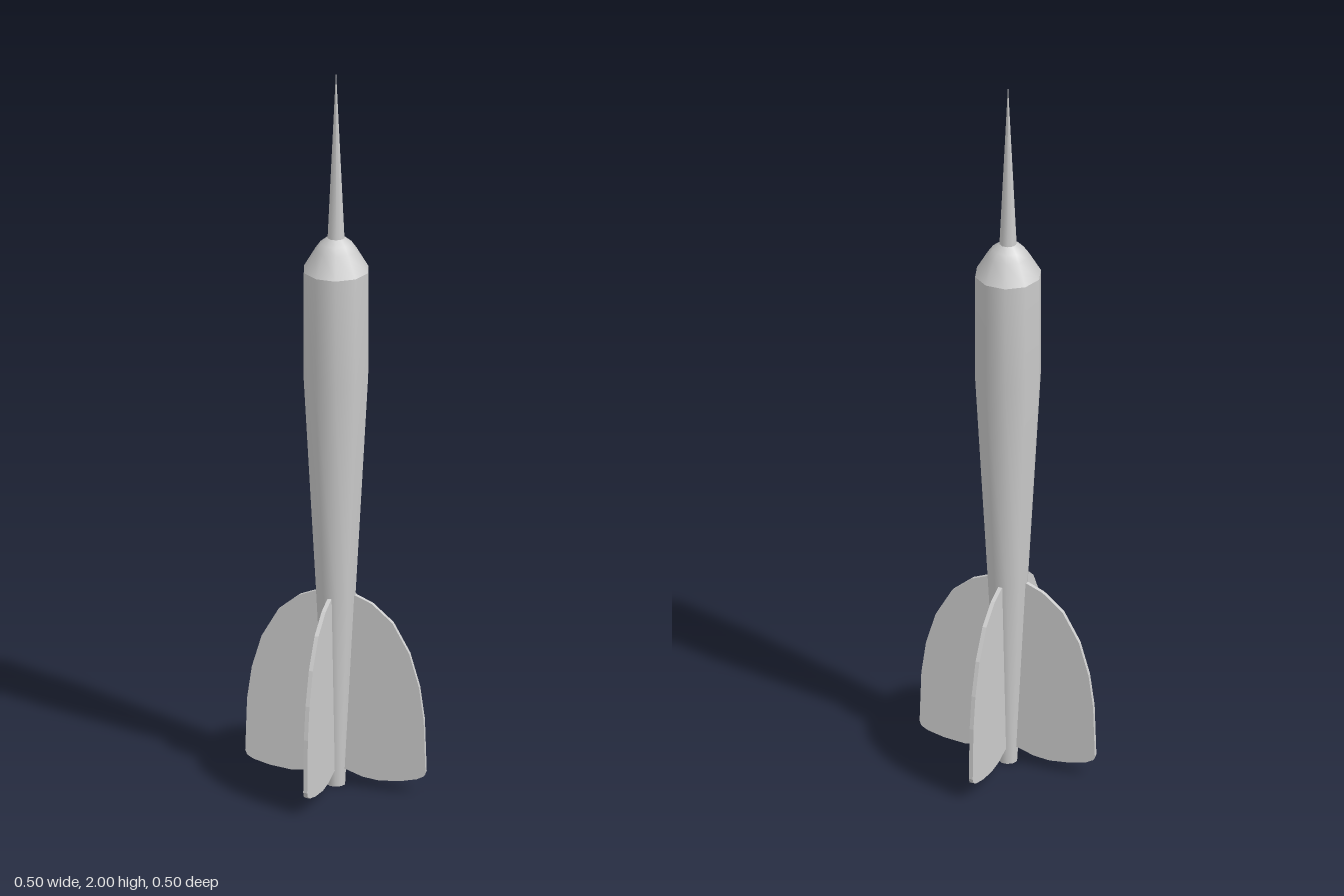
import * as THREE from 'three';

const SIDES = 10;

export function createModel() {
  const dart = new THREE.Group();
  dart.name = 'dart';
  const material = new THREE.MeshStandardMaterial({ color: 0xcccccc });

  const add = (name, geometry) => {
    const mesh = new THREE.Mesh(geometry, material);
    mesh.name = name;
    dart.add(mesh);
    return mesh;
  };

  // Ten-sided turned part with corners on the x axis; points are [radius, y] going up
  const turned = (name, points) => add(name, new THREE.LatheGeometry(
    points.map(([r, y]) => new THREE.Vector2(r, y)), SIDES, Math.PI / 2));

  // Barrel, nose and needle, split where the edges are sharp
  turned('tailCap', [[0, 0], [0.025, 0]]);
  turned('barrel', [[0.025, 0], [0.054, 0.54], [0.088, 1.14], [0.088, 1.44]]);
  turned('nose', [[0.088, 1.44], [0.056, 1.495], [0.042, 1.515], [0.023, 1.53]]);
  turned('needle', [[0.023, 1.53], [0, 2]]);

  // Four rounded fins, rooted inside the barrel
  const outline = [
    [0.01, 0.535], [0.055, 0.535], [0.1, 0.517], [0.157, 0.47], [0.203, 0.39],
    [0.23, 0.3], [0.243, 0.21], [0.248, 0.065], [0.243, 0.052], [0.225, 0.042],
    [0.18, 0.031], [0.12, 0.025], [0.075, 0.03], [0.03, 0.045], [0.01, 0.045],
  ];
  const thickness = 0.011;
  const finGeometry = new THREE.ExtrudeGeometry(
    new THREE.Shape(outline.map(([x, y]) => new THREE.Vector2(x, y)).reverse()),
    { depth: thickness, bevelEnabled: false });
  finGeometry.translate(0, 0, -thickness / 2);
  ['leftFin', 'backFin', 'rightFin', 'frontFin'].forEach((name, i) => {
    add(name, finGeometry).rotation.y = i * Math.PI / 2;
  });

  return dart;
}
